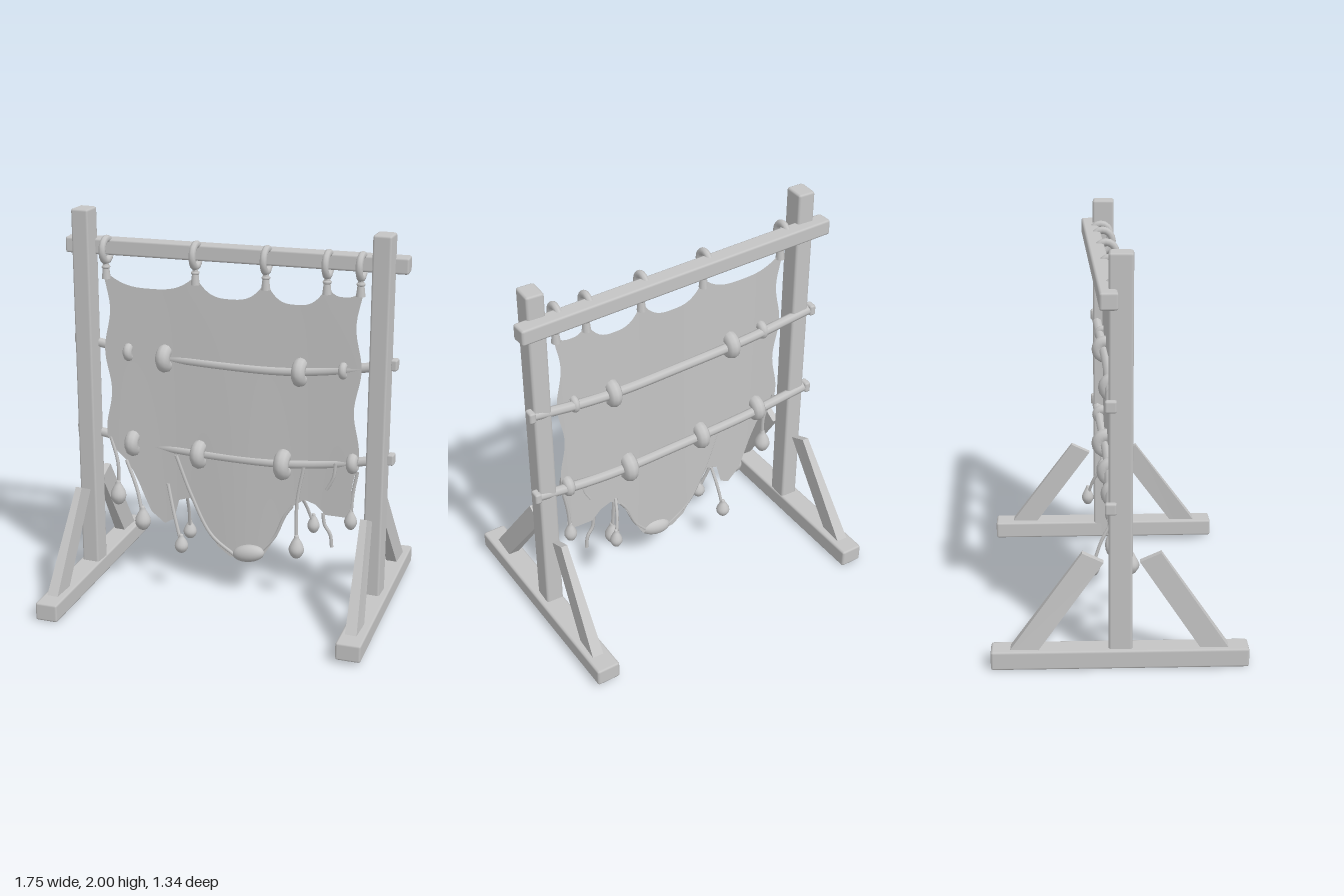
import * as THREE from 'three';
import { toCreasedNormals } from 'three/addons/utils/BufferGeometryUtils.js';
import { RoundedBoxGeometry } from 'three/addons/geometries/RoundedBoxGeometry.js';

const V = (x, y, z) => new THREE.Vector3(x, y, z);
const grey = new THREE.MeshStandardMaterial({ color: 0xc4c4c4 });
grey.name = 'plain grey';
grey.side = THREE.DoubleSide;

// depth of the hanging cloth at a given spot
const clothZ = (x, y) =>
  -0.005 - 0.08 * x + 0.008 * Math.sin(x * 9 + 1) * (1.6 - y) * 0.7;

export function createModel() {
  const model = new THREE.Group();
  model.name = 'hideStretchingFrame';

  const add = (name, geometry, position) => {
    const mesh = new THREE.Mesh(geometry, grey);
    mesh.name = name;
    if (position) mesh.position.copy(position);
    model.add(mesh);
    return mesh;
  };

  // square timber between two points at the same height
  const timber = (name, a, b, w, h) => {
    const d = b.clone().sub(a);
    const m = add(name, new RoundedBoxGeometry(w, h, d.length(), 1, 0.012), a.clone().lerp(b, 0.5));
    m.rotation.y = Math.atan2(d.x, d.z);
    return m;
  };

  const cord = (name, points, radius, sides = 6) =>
    add(name, new THREE.TubeGeometry(new THREE.CatmullRomCurve3(points), 24, radius, sides));

  // posts
  const post = (name, x, z, bottom, top) =>
    add(name, new RoundedBoxGeometry(0.093, top - bottom, 0.112, 1, 0.012), V(x, (top + bottom) / 2, z));
  post('rightPost', -0.76, 0.055, 0.03, 2.0);
  post('leftPost', 0.762, -0.055, 0.03, 1.96);

  // top beam behind the posts
  timber('topBeam', V(-0.88, 1.8, 0.003), V(0.87, 1.8, -0.135), 0.085, 0.082);

  // feet
  timber('rightFoot', V(-0.795, 0.048, -0.56), V(-0.738, 0.048, 0.665), 0.118, 0.096);
  timber('leftFoot', V(0.748, 0.064, -0.67), V(0.81, 0.064, 0.553), 0.126, 0.092);

  // slanting braces, thinner towards the top
  const brace = (name, xLow, xHigh, zOuterLow, zOuterHigh) => {
    const s = Math.sign(zOuterLow);
    const g = new THREE.BoxGeometry(1, 1, 1);
    const p = g.attributes.position;
    for (let i = 0; i < p.count; i++) {
      const high = p.getY(i) > 0, outer = p.getZ(i) * s > 0;
      const x = (high ? xHigh : xLow) + p.getX(i) * (high ? 0.034 : 0.06);
      const y = high ? (outer ? 0.572 : 0.525) : 0.07;
      const z = (high ? zOuterHigh : zOuterLow) - (outer ? 0 : s * (high ? 0.1 : 0.135));
      p.setXYZ(i, x, y, z);
    }
    add(name, toCreasedNormals(g, 0.5));
  };
  brace('rightFrontBrace', -0.75, -0.745, 0.585, 0.245);
  brace('rightBackBrace', -0.797, -0.757, -0.485, -0.125);
  brace('leftFrontBrace', 0.8, 0.75, 0.485, 0.125);
  brace('leftBackBrace', 0.757, 0.752, -0.6, -0.235);

  // cloth: a grid between a scalloped top and a ragged bottom
  const curve = pts => {
    const sorted = pts.map(([x, y]) => V(x, y, 0));
    return x => {
      let i = 0;
      while (i < sorted.length - 2 && x > sorted[i + 1].x) i++;
      const a = sorted[i], b = sorted[i + 1];
      const t = THREE.MathUtils.clamp((x - a.x) / (b.x - a.x), 0, 1);
      return a.y + (b.y - a.y) * t;
    };
  };
  const hooks = [[-0.65, 0], [-0.18, 0], [0.18, 0], [0.485, 0], [0.65, 0]].map(h => h[0]);
  const valleys = [1.607, 1.583, 1.58, 1.635];
  const topEdge = x => {
    let i = 0;
    while (i < 3 && x > hooks[i + 1]) i++;
    const t = THREE.MathUtils.clamp((x - hooks[i]) / (hooks[i + 1] - hooks[i]), 0, 1);
    return valleys[i] + (1.69 - valleys[i]) * Math.pow(Math.abs(2 * t - 1), 3);
  };
  const bottomEdge = curve([
    [-0.65, 0.8], [-0.62, 0.73], [-0.56, 0.67], [-0.5, 0.56], [-0.43, 0.4], [-0.36, 0.34],
    [-0.31, 0.37], [-0.28, 0.48], [-0.22, 0.5], [-0.15, 0.4], [-0.07, 0.25], [0, 0.2], [0.1, 0.19],
    [0.19, 0.24], [0.25, 0.35], [0.32, 0.51], [0.39, 0.56], [0.45, 0.54], [0.5, 0.49], [0.6, 0.49], [0.65, 0.53]]);
  const cloth = new THREE.PlaneGeometry(1.3, 1, 130, 40);
  const cp = cloth.attributes.position;
  for (let i = 0; i < cp.count; i++) {
    const x0 = cp.getX(i), v = cp.getY(i) + 0.5;
    const y = THREE.MathUtils.lerp(bottomEdge(x0), topEdge(x0), v);
    const edge = Math.pow(Math.abs(x0) / 0.65, 6) * Math.sign(x0);
    const x = x0 + edge * 0.016 * Math.cos((y - 0.84) * 14.5);
    cp.setXYZ(i, x, y, clothZ(x, y));
  }
  cloth.computeVertexNormals();
  add('cloth', cloth);

  // rings round the beam, each with a knotted tie down to the cloth
  hooks.forEach(x => {
    const z = -0.067 - 0.079 * x + 0.052;
    const ring = add('hangingRing', new THREE.TorusGeometry(0.052, 0.018, 8, 16), V(x, 1.79, z));
    ring.rotation.y = Math.PI / 2;
    ring.scale.y = 1.08;
    add('ringTie', new THREE.CylinderGeometry(0.013, 0.024, 0.09, 8), V(x, 1.69, clothZ(x, 1.69)));
    const knot = add('tieKnot', new THREE.TorusGeometry(0.014, 0.009, 6, 10), V(x, 1.705, clothZ(x, 1.7)));
    knot.rotation.x = Math.PI / 2;
  });

  // sagging rods with beads threaded on them
  const rod = (yEnd, yMid, beads) => {
    const k = y => yMid + (yEnd - yMid) * y;
    const points = [
      V(-0.83, k(1), 0.01), V(-0.45, k(0.3), 0.002), V(0, k(0), -0.017),
      V(0.3, k(0), -0.04), V(0.55, k(0.35), -0.068), V(0.82, k(1), -0.1)];
    cord('crossRod', points, 0.025, 8);
    [points[0], points[5]].forEach(p =>
      add('rodEnd', new RoundedBoxGeometry(0.035, 0.058, 0.055, 1, 0.01), p));
    const path = new THREE.CatmullRomCurve3(points).getSpacedPoints(100);
    beads.forEach(([x, width, height]) => {
      const p = path.reduce((a, b) => (Math.abs(b.x - x) < Math.abs(a.x - x) ? b : a));
      const tube = width / 2;
      const bead = add('rodBead', new THREE.TorusGeometry(height / 2 - tube, tube, 10, 16),
        V(x, p.y, (p.z + clothZ(x, p.y)) / 2 + 0.006));
      bead.rotation.y = Math.PI / 2;
    });
  };
  rod(1.31, 1.235, [[-0.54, 0.048, 0.1], [-0.345, 0.075, 0.15], [0.36, 0.07, 0.15], [0.575, 0.04, 0.09]]);
  rod(0.82, 0.745, [[-0.525, 0.073, 0.145], [-0.165, 0.075, 0.155], [0.28, 0.08, 0.165], [0.635, 0.056, 0.11]]);

  // hanging cords ending in pear shaped beads
  const pear = [[0, -1], [0.55, -0.85], [0.95, -0.4], [0.95, 0], [0.65, 0.45], [0.35, 0.8], [0.25, 1.05], [0, 1.1]]
    .map(([x, y]) => new THREE.Vector2(x, y));
  const tassel = (start, middle, end, rx, ry) => {
    cord('tasselCord', [start, middle, end], 0.009);
    const bead = add('tasselBead', new THREE.LatheGeometry(new THREE.SplineCurve(pear).getPoints(20), 14), end);
    bead.scale.set(rx, ry, rx);
  };
  tassel(V(-0.65, 0.8, 0.045), V(-0.605, 0.66, 0.06), V(-0.605, 0.495, 0.065), 0.042, 0.066);
  tassel(V(-0.56, 0.68, 0.05), V(-0.49, 0.53, 0.075), V(-0.45, 0.385, 0.1), 0.042, 0.064);
  tassel(V(-0.325, 0.58, 0.05), V(-0.28, 0.43, 0.08), V(-0.228, 0.28, 0.11), 0.036, 0.05);
  tassel(V(-0.24, 0.5, 0.0), V(-0.25, 0.4, -0.05), V(-0.262, 0.275, -0.09), 0.036, 0.05);
  tassel(V(0.39, 0.745, -0.025), V(0.36, 0.55, -0.015), V(0.365, 0.31, 0.0), 0.04, 0.062);
  tassel(V(0.365, 0.58, -0.05), V(0.385, 0.5, -0.1), V(0.412, 0.395, -0.135), 0.032, 0.052);
  tassel(V(0.66, 0.74, -0.06), V(0.64, 0.62, -0.06), V(0.632, 0.48, -0.06), 0.033, 0.055);

  // loose cords lying on the cloth
  const loose = points => cord('looseCord', points.map(([x, y]) => V(x, y, clothZ(x, y) + 0.006)), 0.009);
  loose([[-0.29, 0.73], [-0.21, 0.52], [-0.1, 0.31], [0.04, 0.205]]);
  loose([[0.17, 0.25], [0.24, 0.34], [0.29, 0.46], [0.33, 0.52]]);
  loose([[0.55, 0.78], [0.54, 0.7], [0.505, 0.63]]);
  loose([[0.49, 0.5], [0.5, 0.44], [0.53, 0.39], [0.54, 0.32]]);

  // large weight at the lowest point of the cloth
  const weight = add('clothWeight', new THREE.SphereGeometry(1, 20, 14), V(0.105, 0.235, 0.005));
  weight.scale.set(0.088, 0.046, 0.04);
  weight.rotation.z = 0.2;

  return model;
}
